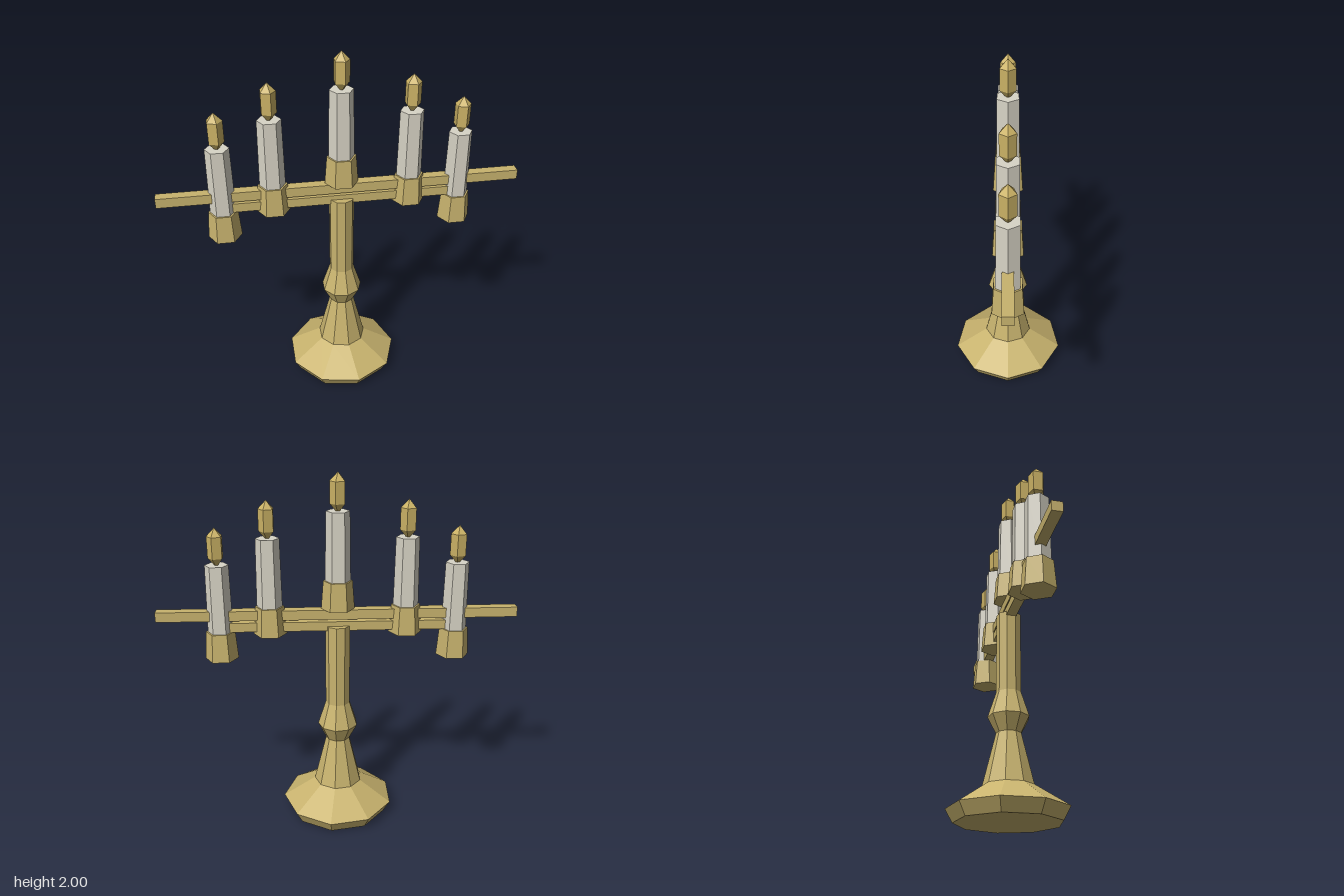
import * as THREE from 'three';

export function createModel() {
  const model = new THREE.Group();
  model.name = 'candelabrum';

  const material = (name, color) => {
    const m = new THREE.MeshStandardMaterial({ color, flatShading: true });
    m.name = name;
    return m;
  };
  const brass = material('brass', 0xc8b36e);
  const wax = material('wax', 0xd8d4c6);
  const flameGold = material('flame gold', 0xcbb265);

  const add = (parent, name, geometry, mat, x = 0, y = 0) => {
    const mesh = new THREE.Mesh(geometry, mat);
    mesh.name = name;
    mesh.position.set(x, y, 0);
    parent.add(mesh);
    return mesh;
  };

  // Faceted turned shape from [radius, height] pairs, with one corner on +x
  const turned = (profile, sides) => new THREE.LatheGeometry(
    profile.map(([r, y]) => new THREE.Vector2(r, y)), sides, Math.PI / 2);

  // Nine-sided foot and stem
  add(model, 'foot', turned([
    [0, 0], [0.285, 0], [0.325, 0.07], [0.138, 0.19], [0, 0.19],
  ], 9), brass);
  add(model, 'stem', turned([
    [0.138, 0.19], [0.069, 0.47], [0.115, 0.56], [0.07, 0.7], [0.07, 1.17], [0, 1.17],
  ], 9), brass);

  // Two stacked cross bars
  add(model, 'upperBar', new THREE.BoxGeometry(1.984, 0.055, 0.057), brass, 0, 1.237);
  add(model, 'lowerBar', new THREE.BoxGeometry(1.29, 0.052, 0.057), brass, 0, 1.171);

  // Candle units: hexagonal cup, hexagonal candle and five-sided flame
  const cup = turned([[0, 0], [0.092, 0], [0.08, 0.158], [0, 0.158]], 6);
  const candle = turned([[0, 0.15], [0.07, 0.15], [0.064, 0.534], [0, 0.534]], 6);
  const flame = turned([
    [0, 0.53], [0.012, 0.534], [0.044, 0.572], [0.044, 0.688], [0, 0.734],
  ], 5);
  const places = [[-0.647, 0.985], [-0.373, 1.126], [0, 1.266], [0.373, 1.126], [0.647, 0.985]];
  for (const [x, y] of places) {
    const unit = new THREE.Group();
    unit.name = 'candleUnit';
    unit.position.set(x, y, 0);
    add(unit, 'cup', cup, brass);
    add(unit, 'candle', candle, wax);
    add(unit, 'flame', flame, flameGold);
    model.add(unit);
  }

  return model;
}
